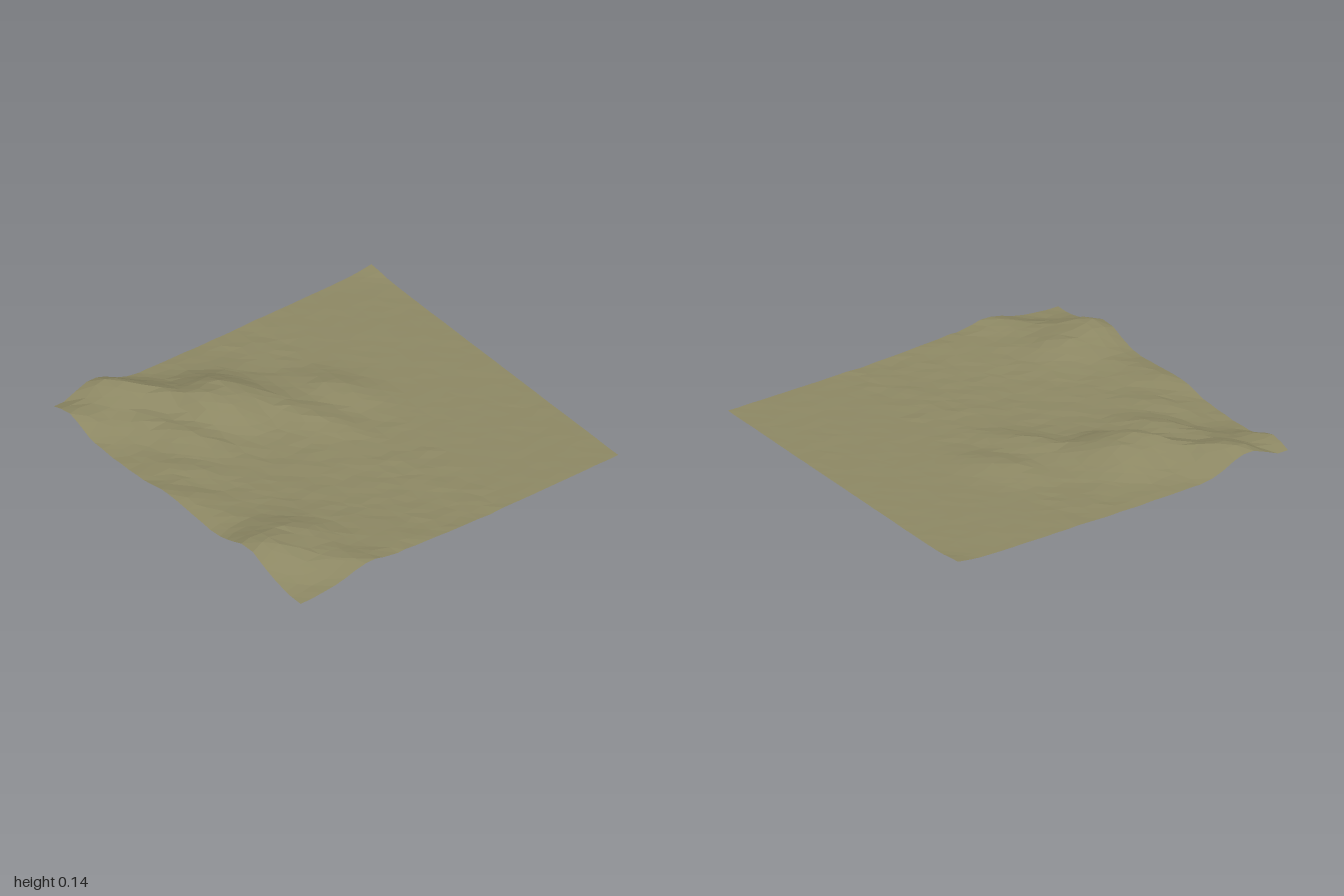
import * as THREE from 'three';

// Dune ridges: x, z, height, half length, half width
const RIDGES = [
  [-0.28, -0.22, 0.040, 0.15, 0.07],
  [-0.12, 0.02, 0.032, 0.14, 0.07],
  [-0.36, 0.10, 0.030, 0.16, 0.08],
  [-0.60, 0.27, 0.080, 0.14, 0.08],
  [-0.51, 0.41, 0.085, 0.13, 0.07],
  [-0.36, 0.29, 0.030, 0.10, 0.08],
  [-0.75, 0.56, 0.065, 0.18, 0.07],
  [-0.38, 0.62, 0.045, 0.14, 0.07],
  [-0.92, 0.76, 0.105, 0.15, 0.08],
  [-0.62, 0.73, 0.040, 0.14, 0.06],
  [-0.85, 0.97, 0.072, 0.15, 0.07],
  [-0.18, 0.77, 0.028, 0.14, 0.07],
  [-0.06, 0.97, 0.035, 0.14, 0.08],
  [0.20, 0.92, 0.030, 0.16, 0.09],
  [0.59, 0.93, 0.105, 0.13, 0.11],
  [0.58, 0.68, 0.045, 0.14, 0.08],
  [0.80, 0.77, 0.035, 0.13, 0.07],
  [0.98, 0.58, 0.048, 0.15, 0.08],
  [0.92, 0.33, 0.020, 0.25, 0.12],
  [0.30, 0.62, 0.012, 0.25, 0.12],
  [-0.60, 0.55, 0.012, 0.30, 0.30],
  [-1.00, -1.00, 0.018, 0.10, 0.07],
  [1.00, 1.00, -0.022, 0.12, 0.12],
];

const ANGLE = 0.52;
const COS = Math.cos(ANGLE);
const SIN = Math.sin(ANGLE);

// Each ridge is gentle at the back and steep at the front
function heightAt(x, z) {
  let y = 0.017;
  for (const [cx, cz, h, length, width] of RIDGES) {
    const dx = x - cx;
    const dz = z - cz;
    const along = (dx * COS - dz * SIN) / length;
    const across = dx * SIN + dz * COS;
    const w = width * (across > 0 ? 0.85 : 1.25);
    y += h * Math.exp(-0.5 * (along * along + (across / w) ** 2));
  }
  return Math.max(0, y);
}

function seededRandom(seed) {
  return () => {
    seed = (seed * 16807) % 2147483647;
    return seed / 2147483647;
  };
}

export function createModel() {
  const group = new THREE.Group();
  group.name = 'duneLandscape';

  const cells = 30;
  const step = 2 / cells;
  const random = seededRandom(71);
  const terrain = new THREE.PlaneGeometry(2, 2, cells, cells).rotateX(-Math.PI / 2);
  const position = terrain.attributes.position;

  // Irregular facets inside, straight outer edges
  for (let i = 0; i < position.count; i++) {
    let x = position.getX(i);
    let z = position.getZ(i);
    const jitterX = (random() - 0.5) * step * 0.5;
    const jitterZ = (random() - 0.5) * step * 0.5;
    if (Math.abs(x) < 0.999) x += jitterX;
    if (Math.abs(z) < 0.999) z += jitterZ;
    const roughness = (random() - 0.5) * (z > -0.3 ? 0.006 : 0.002);
    position.setXYZ(i, x, Math.max(0, heightAt(x, z) + roughness), z);
  }
  // Lowest corner rests on the ground
  position.setY(position.count - 1, 0);
  terrain.computeVertexNormals();

  const sand = new THREE.MeshStandardMaterial({
    color: 0x8c8763,
    flatShading: true,
    side: THREE.DoubleSide,
  });
  const ground = new THREE.Mesh(terrain, sand);
  ground.name = 'terrainSurface';
  group.add(ground);
  return group;
}
